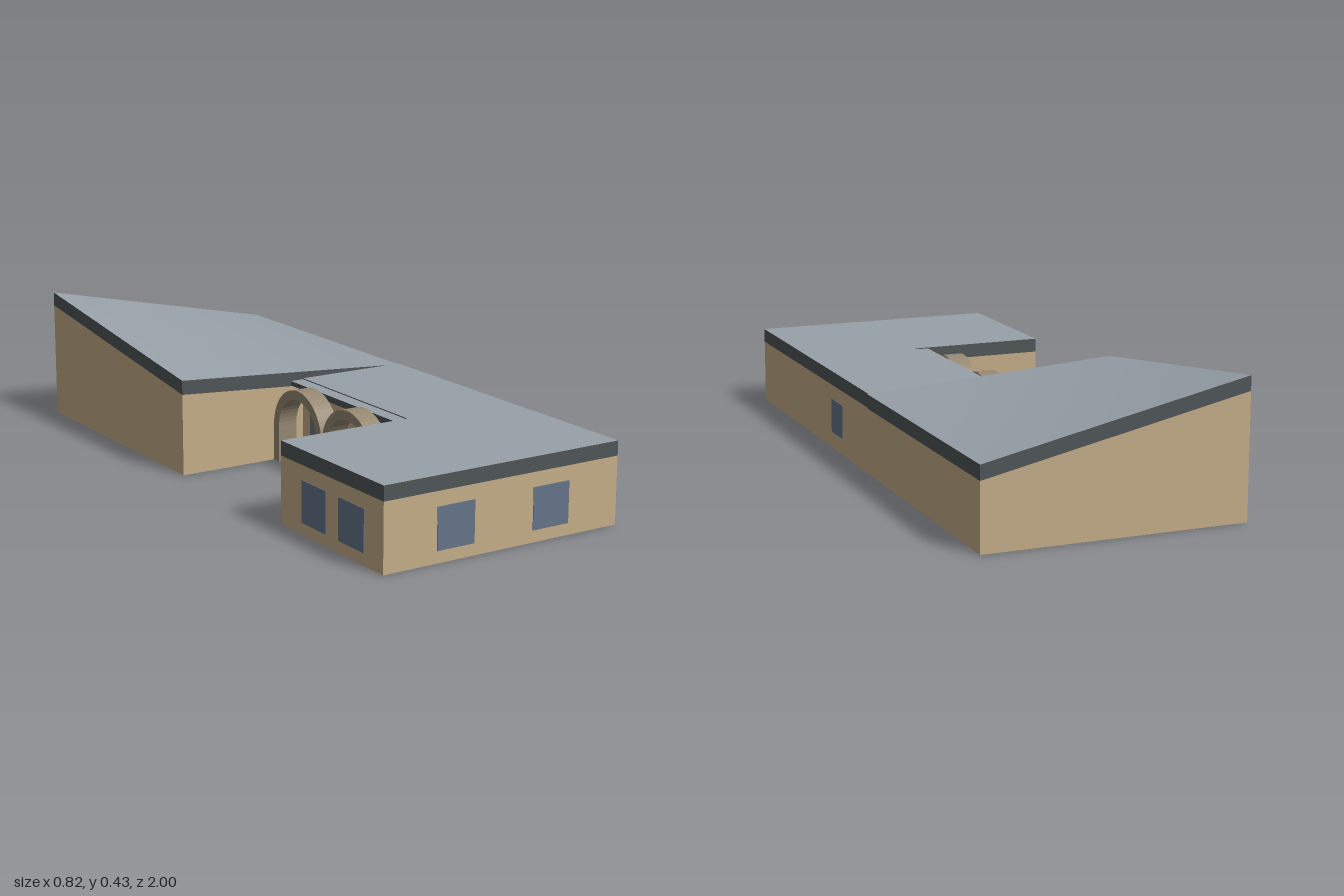
import * as THREE from 'three';

const mat = (name, color) => {
  const m = new THREE.MeshStandardMaterial({ color, side: THREE.DoubleSide });
  m.name = name;
  return m;
};

export function createModel() {
  const wallMat = mat('sand wall', 0xc4ad88);
  const roofMat = mat('grey roof', 0x97a1a8);
  const fasciaMat = mat('dark fascia', 0x4f5557);
  const glassMat = mat('blue glass', 0x647489);
  const stoneMat = mat('arch stone', 0x958872);

  const model = new THREE.Group();
  model.name = 'house';
  const W = 0.407, H = 0.253, BAND = 0.045;
  const INNER = 0.035, BACK = -0.1, FRONT = 0.48;

  const add = (parent, name, geo, material) => {
    const mesh = new THREE.Mesh(geo, material);
    mesh.name = name;
    parent.add(mesh);
    return mesh;
  };

  // Upright panel between two plan points, with its own heights at each end
  const panel = (a, b, lowA, lowB, topA, topB) => {
    const g = new THREE.PlaneGeometry(1, 1);
    const p = g.attributes.position;
    p.setXYZ(0, a[0], topA, a[1]);
    p.setXYZ(1, b[0], topB, b[1]);
    p.setXYZ(2, a[0], lowA, a[1]);
    p.setXYZ(3, b[0], lowB, b[1]);
    g.computeVertexNormals();
    return g;
  };

  // Open-bottomed block: thin walls, a dark band under the eaves, a roof sheet
  const block = (name, x0, x1, z0, z1, roofY, sides, seg) => {
    const group = new THREE.Group();
    group.name = name;
    const corners = [[x0, z1], [x1, z1], [x1, z0], [x0, z0]];
    for (const i of sides) {
      const a = corners[i], b = corners[(i + 1) % 4];
      const ha = roofY(...a), hb = roofY(...b);
      add(group, 'wall', panel(a, b, 0, 0, ha - BAND, hb - BAND), wallMat);
      add(group, 'fascia', panel(a, b, ha - BAND, hb - BAND, ha, hb), fasciaMat);
    }
    const roof = new THREE.PlaneGeometry(x1 - x0, z1 - z0, seg, seg);
    roof.rotateX(-Math.PI / 2).translate((x0 + x1) / 2, 0, (z0 + z1) / 2);
    const p = roof.attributes.position;
    for (let i = 0; i < p.count; i++) p.setY(i, roofY(p.getX(i), p.getZ(i)));
    roof.computeVertexNormals();
    add(group, 'roof', roof, roofMat);
    model.add(group);
  };

  const flat = () => H;
  // Twisted roof rising towards the back corner on the right
  const twisted = (x, z) => {
    const across = (W - x) / (2 * W), along = (BACK - z) / (1 + BACK);
    return 0.25 + across * (0.055 + 0.12 * along);
  };
  block('frontWing', -W, W, FRONT, 1, flat, [0, 1, 2, 3], 1);
  block('corridor', INNER, W, BACK, FRONT, flat, [1, 3], 1);
  block('backWing', -W, W, -1, BACK, twisted, [0, 1, 2, 3], 10);

  // Narrow eave over the arcade
  const eave = new THREE.BoxGeometry(INNER + 0.01, 0.015, FRONT - BACK);
  eave.translate((INNER - 0.01) / 2, 0.2425, (FRONT + BACK) / 2);
  add(model, 'eave', eave,
    [fasciaMat, fasciaMat, roofMat, fasciaMat, fasciaMat, fasciaMat]);

  // Arcade of two round arches on straight legs
  const R = 0.14, r = 0.11, SPRING = 0.116;
  const arch = new THREE.Shape();
  arch.moveTo(R, 0);
  arch.lineTo(R, SPRING);
  arch.absarc(0, SPRING, R, 0, Math.PI, false);
  arch.lineTo(-R, 0);
  arch.lineTo(-r, 0);
  arch.lineTo(-r, SPRING);
  arch.absarc(0, SPRING, r, Math.PI, 0, true);
  arch.lineTo(r, 0);
  arch.closePath();
  const archGeo = new THREE.ExtrudeGeometry(arch,
    { depth: 0.065, bevelEnabled: false, curveSegments: 12 });
  archGeo.rotateY(-Math.PI / 2);
  for (const z of [0.04, 0.32])
    add(model, 'arch', archGeo, stoneMat).position.set(-0.01, 0, z);

  // Windows: thin plates set on the walls
  const frontWindow = (x) =>
    add(model, 'frontWindow', new THREE.BoxGeometry(0.127, 0.127, 0.004), glassMat)
      .position.set(x, 0.1, 1);
  const sideWindow = (x, z, size, y) =>
    add(model, 'sideWindow', new THREE.BoxGeometry(0.004, size, size), glassMat)
      .position.set(x, y, z);
  for (const x of [-0.166, 0.166]) frontWindow(x);
  for (const z of [0.655, 0.845]) sideWindow(-W, z, 0.127, 0.1);
  sideWindow(W, 0.195, 0.11, 0.108);
  for (const z of [0, 0.38]) sideWindow(INNER, z, 0.11, 0.1);

  return model;
}
